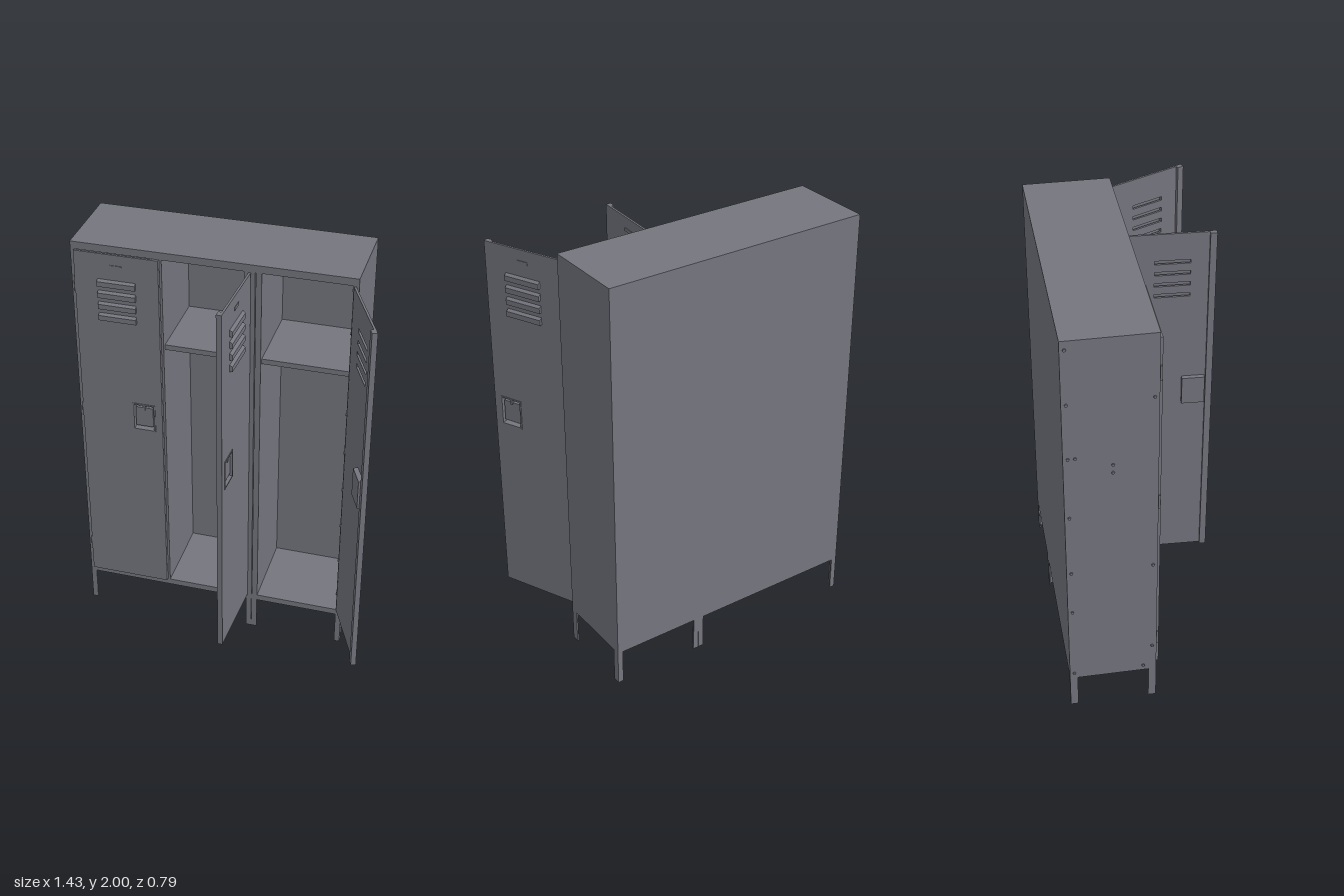
import * as THREE from 'three';

const steel = new THREE.MeshStandardMaterial({ color: 0x74757e, side: THREE.DoubleSide });
steel.name = 'greySteel';

function add(parent, name, geometry) {
  const mesh = new THREE.Mesh(geometry, steel);
  mesh.name = name;
  parent.add(mesh);
  return mesh;
}

// Box given by its limits along each axis
function block(parent, name, x0, x1, y0, y1, z0, z1) {
  const g = new THREE.BoxGeometry(Math.abs(x1 - x0), y1 - y0, z1 - z0);
  g.translate((x0 + x1) / 2, (y0 + y1) / 2, (z0 + z1) / 2);
  return add(parent, name, g);
}

function rectPath(path, x0, x1, y0, y1) {
  path.moveTo(x0, y0);
  path.lineTo(x1, y0);
  path.lineTo(x1, y1);
  path.lineTo(x0, y1);
  path.closePath();
  return path;
}

// Solid with a (z, y) profile, running along x from x0 to x1
function profileX(points, x0, x1) {
  const shape = new THREE.Shape(points.map(([z, y]) => new THREE.Vector2(z, y)));
  const lo = Math.min(x0, x1), hi = Math.max(x0, x1);
  const g = new THREE.ExtrudeGeometry(shape, { depth: hi - lo, bevelEnabled: false });
  g.rotateY(-Math.PI / 2);
  g.translate(hi, 0, 0);
  return g;
}

const W = 0.385, T = 0.01, Y0 = 0.2, Y1 = 1.965;
const louvreTops = [1.842, 1.786, 1.73, 1.674];

// Door with its hinge on the local y axis; dir is the side it reaches to
function makeDoor(name, dir) {
  const door = new THREE.Group();
  door.name = name;
  const X = (s) => dir * s;

  // Pierced face panel
  const face = rectPath(new THREE.Shape(), X(0), X(W), Y0, Y1);
  for (const y of louvreTops)
    face.holes.push(rectPath(new THREE.Path(), X(0.115), X(0.275), y - 0.026, y - 0.008));
  face.holes.push(rectPath(new THREE.Path(), X(0.25), X(0.345), 1.085, 1.215));
  add(door, 'doorPanel', new THREE.ExtrudeGeometry(face, { depth: T, bevelEnabled: false }));
  block(door, 'doorEdgeFlange', X(W - 0.03), X(W), Y0, Y1, -0.014, 0);

  // Louvre hoods, open underneath
  for (const y of louvreTops) {
    const hood = [[T, y], [T + 0.013, y - 0.009], [T + 0.013, y - 0.033],
      [T + 0.010, y - 0.033], [T + 0.010, y - 0.011], [T, y - 0.004]];
    add(door, 'louvreHood', profileX(hood, X(0.106), X(0.28)));
    const cheek = [[T, y], [T + 0.013, y - 0.009], [T + 0.013, y - 0.033], [T, y - 0.033]];
    add(door, 'louvreCheek', profileX(cheek, X(0.106), X(0.109)));
    add(door, 'louvreCheek', profileX(cheek, X(0.277), X(0.28)));
  }

  // Recessed latch pan with rim and lever
  const rim = rectPath(new THREE.Shape(), X(0.243), X(0.352), 1.078, 1.222);
  rim.holes.push(rectPath(new THREE.Path(), X(0.25), X(0.345), 1.085, 1.215));
  const rimGeo = new THREE.ExtrudeGeometry(rim, { depth: 0.003, bevelEnabled: false });
  add(door, 'latchRim', rimGeo.translate(0, 0, T));
  block(door, 'latchPanBack', X(0.245), X(0.35), 1.08, 1.22, -0.022, -0.018);
  for (const [a, b] of [[0.245, 0.25], [0.345, 0.35]])
    block(door, 'latchPanSide', X(a), X(b), 1.08, 1.22, -0.018, 0);
  for (const [a, b] of [[1.08, 1.085], [1.215, 1.22]])
    block(door, 'latchPanEnd', X(0.25), X(0.345), a, b, -0.018, 0);
  block(door, 'latchLever', X(0.256), X(0.339), 1.1, 1.2, -0.018, 0.004);
  block(door, 'latchCatch', X(0.292), X(0.303), 1.19, 1.215, -0.01, 0.009);

  // Small plate near the top
  block(door, 'numberPlate', X(0.165), X(0.22), 1.9, 1.915, T, T + 0.003);

  // Hinge knuckles
  for (const y of [0.355, 1.145, 1.8]) {
    const g = new THREE.CylinderGeometry(0.006, 0.006, 0.07, 10);
    add(door, 'hinge', g.translate(0, y, 0.004));
  }
  return door;
}

// Hanging hook under a shelf; sides lists which prongs it has
function makeHook(parent, x, z, sides) {
  const hook = new THREE.Group();
  hook.name = 'coatHook';
  const tube = (pts) => new THREE.TubeGeometry(
    new THREE.CatmullRomCurve3(pts.map(([a, b]) => new THREE.Vector3(a, b, 0))), 12, 0.003, 6);
  add(hook, 'hookStem', tube([[0, 0], [0, -0.025], [0, -0.05]]));
  for (const s of sides)
    add(hook, 'hookProng', tube([[0, -0.045], [s * 0.012, -0.062], [s * 0.034, -0.066], [s * 0.052, -0.05]]));
  hook.position.set(x, 1.512, z);
  parent.add(hook);
}

export function createModel() {
  const model = new THREE.Group();
  model.name = 'lockers';

  // Carcass
  const body = new THREE.Group();
  body.name = 'carcass';
  model.add(body);
  const L = -0.713, R = 0.565, B = -0.395;
  block(body, 'roof', L, R, 1.965, 2, B, 0);
  block(body, 'floor', L, R, 0.17, 0.2, B, 0);
  block(body, 'backPanel', L, R, 0.2, 1.965, B, B + 0.01);
  block(body, 'leftWall', 0.54, R, 0.2, 1.965, B + 0.01, 0);
  block(body, 'rightWall', L, -0.692, 0.2, 1.965, B + 0.01, 0);
  block(body, 'partition', -0.308, -0.298, 0.2, 1.965, B + 0.01, 0);
  block(body, 'moduleWall', 0.07, 0.118, 0.2, 1.965, B + 0.01, 0);
  block(body, 'moduleWall', 0.121, 0.147, 0.2, 1.965, B + 0.01, 0);

  // Shelves
  for (const [a, b] of [[-0.692, -0.308], [-0.298, 0.07], [0.147, 0.54]])
    block(body, 'shelf', a, b, 1.51, 1.535, B + 0.01, -0.02);

  // Coat hooks
  makeHook(body, -0.53, -0.2, [-1, 1]);
  makeHook(body, -0.14, -0.2, [-1, 1]);
  makeHook(body, 0.225, -0.2, [-1, 1]);
  makeHook(body, 0.535, -0.2, [-1]);

  // Rivets on the inner walls and on the outer side
  const rivet = (x, y, z) => {
    const g = new THREE.CylinderGeometry(0.007, 0.007, 0.014, 8);
    g.rotateZ(Math.PI / 2);
    add(body, 'rivet', g.translate(x, y, z));
  };
  for (const x of [0.065, 0.533])
    for (let i = 0; i < 9; i++) rivet(x, 0.25 + i * 0.2075, -0.06);
  for (const y of [0.2, 0.58, 0.81, 1.12, 1.43, 1.7, 1.96]) rivet(-0.712, y, -0.375);
  for (const y of [0.32, 0.81, 1.7]) rivet(-0.712, y, -0.02);
  for (const [y, z] of [[1.43, -0.345], [1.38, -0.19], [1.34, -0.19], [0.2, -0.06]]) rivet(-0.712, y, z);

  // Angle-section legs: outer corner x, and the way the flange points
  for (const [x, s] of [[L, 1], [0.117, -1], [0.119, 1], [R, -1]])
    for (const front of [true, false]) {
      const leg = new THREE.Group();
      leg.name = 'leg';
      const z0 = front ? -0.035 : B, z1 = front ? 0 : B + 0.035;
      block(leg, 'legSide', x, x + s * 0.007, 0, 0.17, z0, z1);
      if (front) block(leg, 'legFlange', x + s * 0.007, x + s * 0.026, 0, 0.17, -0.007, 0);
      else block(leg, 'legFlange', x + s * 0.007, x + s * 0.026, 0, 0.17, B, B + 0.007);
      model.add(leg);
    }

  // Doors: one closed, two swung open
  const closed = makeDoor('closedDoor', 1);
  closed.position.set(-0.695, 0, 0.003);
  const middle = makeDoor('middleDoor', -1);
  middle.position.set(0.09, 0, 0.005);
  middle.rotation.y = 1.525;
  const end = makeDoor('endDoor', -1);
  end.position.set(0.543, 0, 0.007);
  end.rotation.y = 2.0;
  model.add(closed, middle, end);
  return model;
}
